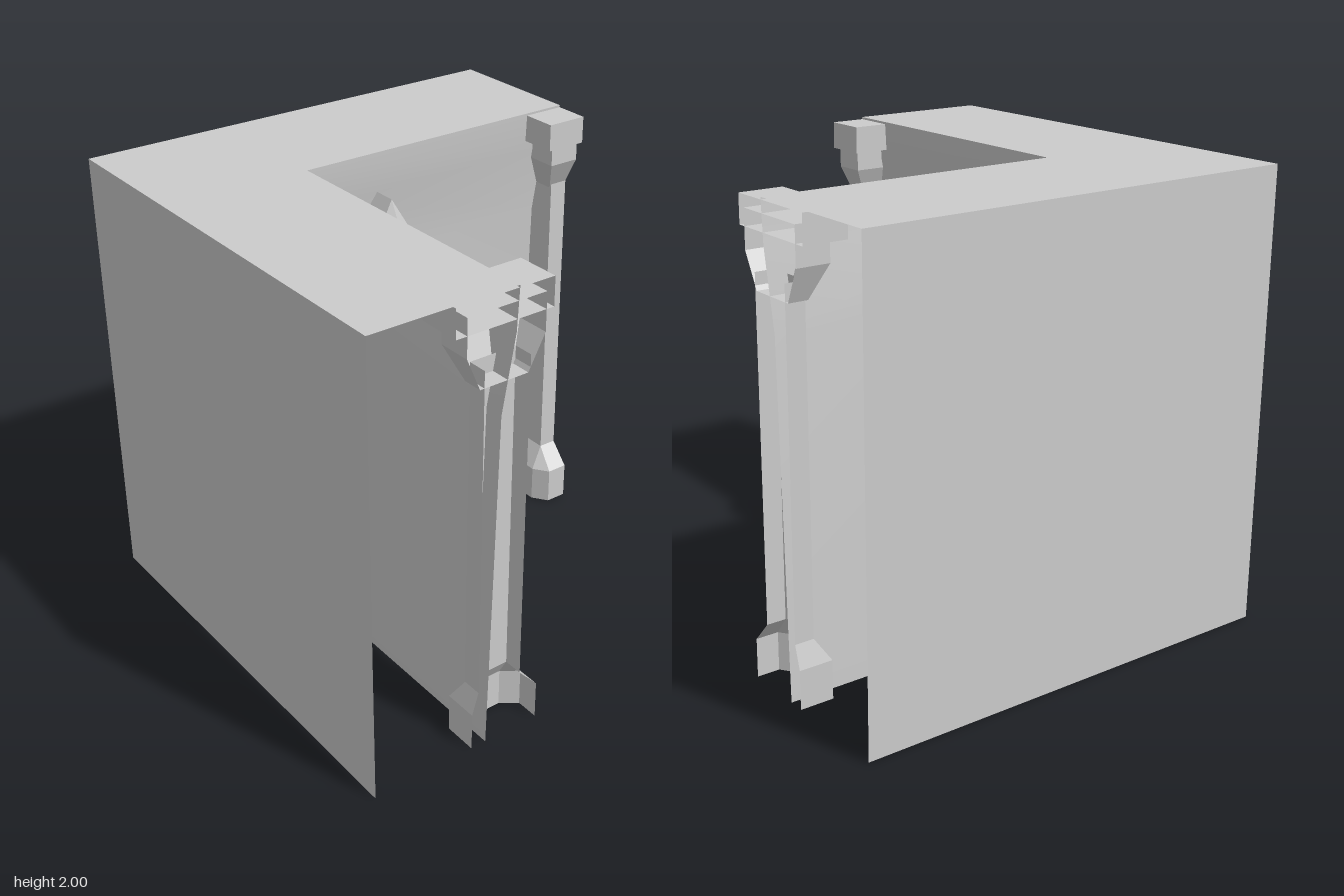
import * as THREE from 'three';
import { mergeVertices } from 'three/addons/utils/BufferGeometryUtils.js';

const material = new THREE.MeshStandardMaterial({ color: 0xcccccc, side: THREE.DoubleSide });

// Skin between rings of [x, y, z] points, with optional flat lids
function loft(name, rings, { closed = false, bottom = false, top = false, smooth = false } = {}) {
  const pos = [];
  const tri = (a, b, c) => pos.push(...a, ...b, ...c);
  const n = rings[0].length;
  for (let j = 0; j < rings.length - 1; j++) {
    for (let i = 0; i < (closed ? n : n - 1); i++) {
      const k = (i + 1) % n, lo = rings[j], hi = rings[j + 1];
      tri(lo[i], lo[k], hi[k]);
      tri(lo[i], hi[k], hi[i]);
    }
  }
  const last = rings[rings.length - 1];
  for (let i = 1; i < n - 1; i++) {
    if (bottom) tri(rings[0][0], rings[0][i + 1], rings[0][i]);
    if (top) tri(last[0], last[i], last[i + 1]);
  }
  let geo = new THREE.BufferGeometry();
  geo.setAttribute('position', new THREE.Float32BufferAttribute(pos, 3));
  if (smooth) geo = mergeVertices(geo);
  geo.computeVertexNormals();
  const mesh = new THREE.Mesh(geo, material);
  mesh.name = name;
  return mesh;
}

// Half-pilaster section, open at the wall's end (z = 1)
const halfBox = (y, x0, x1, z, cx = 0, cz = 0) => [
  [x1, y, 1], [x1, y, z + cz], [x1 - cx, y, z], [x0, y, z], [x0, y, 1],
];

// Eight-point section of a column standing in the wall
const octagon = (y, c, d1, w1, d2, w2) => [
  [c + d1, y, w1], [c + d1, y, -w1], [c + d2, y, -w2], [c - d2, y, -w2],
  [c - d1, y, -w1], [c - d1, y, w1], [c - d2, y, w2], [c + d2, y, w2],
];

function createWing() {
  const wing = new THREE.Group();

  // Inner wall leans back towards the floor and is mitred at the corner
  const profile = [[-0.46, 0], [-0.42, 1.5], [-0.36, 1.82], [-0.35, 2]];
  wing.add(loft('innerWall', profile.map(([x, y]) => [[x, y, 1], [x, y, x]]), { smooth: true }));
  wing.add(loft('outerWall', [0, 2].map((y) => [[-1, y, -1], [-1, y, 1]])));
  wing.add(loft('wallTop', [
    [[-1, 2, 1], [-0.35, 2, 1]],
    [[-1, 2, -1], [-0.35, 2, -0.35]],
  ]));

  // Half pilaster at the end of the wall
  const pilaster = new THREE.Group();
  pilaster.name = 'endPilaster';
  pilaster.add(loft('pilasterBase', [
    halfBox(0, -0.53, -0.2, 0.85, 0.07, 0.05),
    halfBox(0.17, -0.53, -0.2, 0.85, 0.07, 0.05),
    halfBox(0.27, -0.5, -0.29, 0.915),
  ]));
  pilaster.add(loft('pilasterShaft', [
    halfBox(0.27, -0.5, -0.29, 0.915),
    halfBox(1.71, -0.5, -0.29, 0.915),
  ]));
  pilaster.add(loft('pilasterNeck', [
    halfBox(1.64, -0.52, -0.3, 0.915),
    halfBox(1.78, -0.58, -0.225, 0.855),
    halfBox(1.94, -0.58, -0.225, 0.855),
  ], { bottom: true, top: true }));
  pilaster.add(loft('pilasterCap', [
    halfBox(1.87, -0.63, -0.19, 0.81),
    halfBox(1.99, -0.63, -0.19, 0.81),
  ], { bottom: true, top: true }));
  wing.add(pilaster);

  // Leaning column with a flared foot and a pointed head
  const column = new THREE.Group();
  column.name = 'middleColumn';
  column.add(loft('columnShaft', [
    octagon(0, -0.46, 0.09, 0.055, 0.06, 0.082),
    octagon(0.15, -0.46, 0.09, 0.055, 0.06, 0.082),
    octagon(0.22, -0.455, 0.08, 0.055, 0.06, 0.055),
    octagon(1.53, -0.39, 0.105, 0.055, 0.08, 0.055),
  ], { closed: true }));
  column.add(loft('columnHead', [
    octagon(1.53, -0.39, 0.2, 0, 0.145, 0.075),
    octagon(1.69, -0.39, 0.2, 0, 0.145, 0.075),
    octagon(1.82, -0.39, 0.135, 0, 0.135, 0),
  ], { closed: true, bottom: true }));
  wing.add(column);
  return wing;
}

export function createModel() {
  const model = new THREE.Group();
  model.name = 'cornerWall';
  const sideWing = createWing();
  sideWing.name = 'sideWing';
  // The second wing swaps x and z
  const backWing = createWing();
  backWing.name = 'backWing';
  backWing.scale.z = -1;
  backWing.rotation.y = -Math.PI / 2;
  model.add(sideWing, backWing);
  return model;
}
